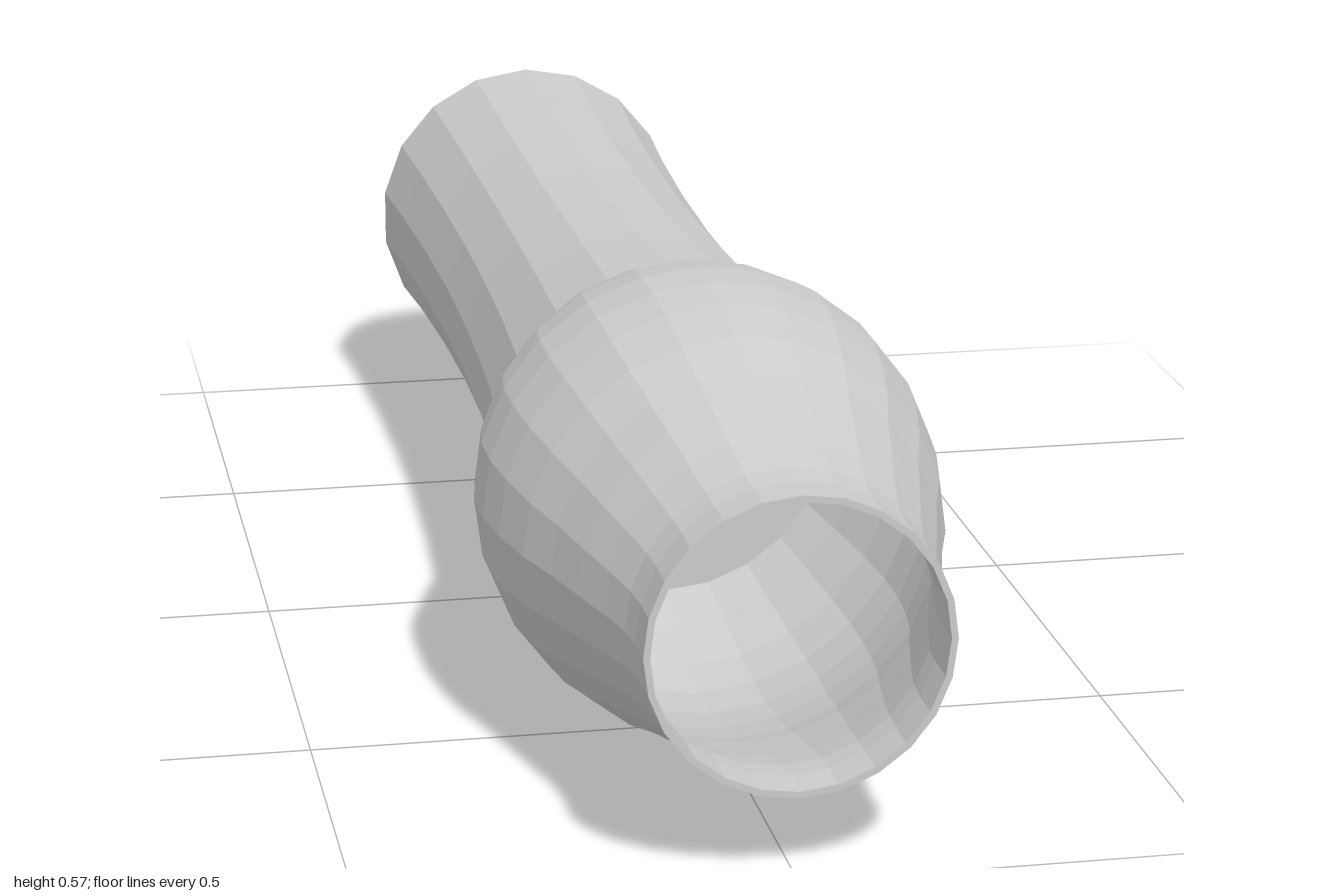
import * as THREE from 'three';

const CENTRE_Y = 0.284;
const WALL = 0.008;

// Turned part around the z axis; profile points are [radius, z], back to front on the outside.
function turned(name, profile, sides) {
  const points = profile.map(([r, z]) => new THREE.Vector2(r, z));
  const geometry = new THREE.LatheGeometry(points, sides);
  geometry.rotateX(Math.PI / 2);
  const material = new THREE.MeshStandardMaterial({ color: 0xcccccc, flatShading: true });
  const mesh = new THREE.Mesh(geometry, material);
  mesh.name = name;
  mesh.position.y = CENTRE_Y;
  return mesh;
}

export function createModel() {
  const group = new THREE.Group();
  group.name = 'bulbedTube';

  // Solid waisted handle with a bevelled butt; its front cap floors the bulb
  group.add(turned('handle', [
    [0, -1], [0.2, -1], [0.222, -0.94], [0.213, -0.8], [0.205, -0.6], [0.202, -0.4],
    [0.204, -0.2], [0.211, 0], [0.223, 0.2], [0, 0.2],
  ], 18));

  // Thin hollow bulb narrowing to an open mouth
  const outer = [
    [0.223, 0.2], [0.248, 0.27], [0.272, 0.35], [0.283, 0.42], [0.283, 0.49], [0.274, 0.56],
    [0.257, 0.64], [0.235, 0.71], [0.217, 0.78], [0.198, 0.85], [0.184, 0.91], [0.18, 0.95], [0.18, 1],
  ];
  const inner = outer.map(([r, z]) => [r - WALL, z]).reverse();
  group.add(turned('bulb', [...outer, ...inner], 24));

  return group;
}
